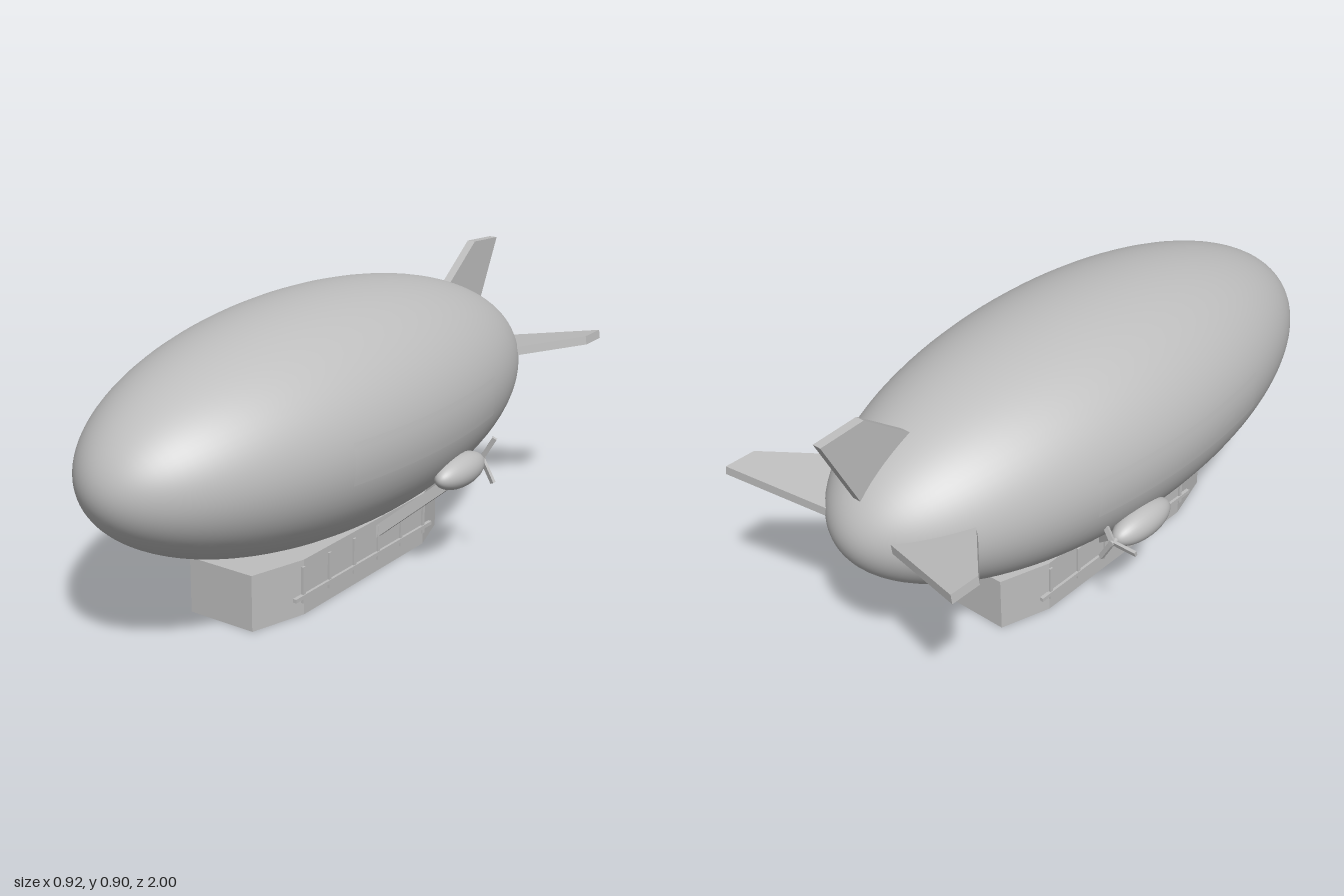
import * as THREE from 'three';

const grey = new THREE.MeshStandardMaterial({ color: 0xbebebe });
grey.name = 'silver grey';

const AXIS_Y = 0.535, AXIS_Z = 0.03;
const RX = 0.427, RY = 0.362, RZ = 0.97;

function add(parent, name, geometry, x = 0, y = 0, z = 0) {
  const mesh = new THREE.Mesh(geometry, grey);
  mesh.name = name;
  mesh.position.set(x, y, z);
  parent.add(mesh);
  return mesh;
}

// Smooth ellipsoid with its poles on the z axis
function ellipsoid(rx, ry, rz, around, along) {
  return new THREE.SphereGeometry(1, around, along).rotateX(Math.PI / 2).scale(rx, ry, rz);
}

// Horizontal slab from an [x, z] outline, its underside at y = bottom
function slab(outline, thickness, bottom) {
  const shape = new THREE.Shape(outline.map(([x, z]) => new THREE.Vector2(x, -z)));
  return new THREE.ExtrudeGeometry(shape, { depth: thickness, bevelEnabled: false })
    .rotateX(-Math.PI / 2).translate(0, bottom, 0);
}

// Thin panel that follows the envelope's flank
function sidePanel(s) {
  const g = new THREE.PlaneGeometry(0.76, 0.125, 32, 6);
  const p = g.attributes.position;
  for (let i = 0; i < p.count; i++) {
    const z = 0.03 - s * p.getX(i), y = 0.537 + p.getY(i);
    const u = (y - AXIS_Y) / RY, w = (z - AXIS_Z) / RZ;
    p.setXYZ(i, s * (RX * Math.sqrt(1 - u * u - w * w) + 0.002), y, z);
  }
  g.computeVertexNormals();
  return g;
}

// Sloping strut, sheared from a box, from cabin wall to nacelle
function strut(s) {
  const g = new THREE.BoxGeometry(1, 0.042, 0.036);
  const p = g.attributes.position;
  for (let i = 0; i < p.count; i++) {
    const t = s * p.getX(i) + 0.5;
    p.setXYZ(i,
      s * THREE.MathUtils.lerp(0.155, 0.39, t),
      p.getY(i) + THREE.MathUtils.lerp(0.125, 0.335, t),
      p.getZ(i) + THREE.MathUtils.lerp(-0.05, -0.155, t));
  }
  g.computeVertexNormals();
  return g;
}

export function createModel() {
  const model = new THREE.Group();
  model.name = 'airship';
  const body = new THREE.Group();
  body.name = 'airshipBody';
  body.position.x = 0.016;
  model.add(body);

  // Gas envelope
  add(body, 'envelope', ellipsoid(RX, RY, RZ, 72, 56), 0, AXIS_Y, AXIS_Z);

  // Tail fins, all radiating from the envelope axis
  const sideFin = [[0.05, -0.87], [0.44, -0.98], [0.44, -0.88], [0.28, -0.72], [0.18, -0.63]];
  const topFin = [[0.06, -0.86], [0.125, -0.89], [0.345, -1], [0.355, -0.85], [0.245, -0.7], [0.16, -0.6]];
  [['leftFin', sideFin, 0.155], ['rightFin', sideFin, Math.PI - 0.155], ['topFin', topFin, Math.PI / 2]]
    .forEach(([name, outline, angle]) => {
      add(body, name, slab(outline, 0.028, -0.014), 0, AXIS_Y, 0).rotation.z = angle;
    });

  // Cabin with cut corners
  add(body, 'cabin', slab([
    [-0.114, 0.52], [0.114, 0.52], [0.166, 0.34], [0.166, -0.31],
    [0.114, -0.47], [-0.114, -0.47], [-0.166, -0.31], [-0.166, 0.34],
  ], 0.175, 0));

  for (const s of [1, -1]) {
    const side = s > 0 ? 'left' : 'right';
    add(body, side + 'Panel', sidePanel(s));

    // Handrail and posts along the cabin wall
    add(body, side + 'Rail', new THREE.BoxGeometry(0.012, 0.012, 0.74), s * 0.169, 0.062, 0.02);
    for (let i = 0; i < 6; i++) {
      add(body, side + 'RailPost', new THREE.BoxGeometry(0.012, 0.115, 0.012),
        s * 0.166, 0.0975, 0.345 - 0.13 * i);
    }

    // Engine nacelle, strut and three-bladed propeller
    add(body, side + 'Strut', strut(s));
    add(body, side + 'Nacelle', ellipsoid(0.051, 0.051, 0.123, 32, 24), s * 0.39, 0.352, -0.153);
    const propeller = new THREE.Group();
    propeller.name = side + 'Propeller';
    propeller.position.set(s * 0.39, 0.352, -0.287);
    add(propeller, 'hub', new THREE.CylinderGeometry(0.009, 0.009, 0.03, 16).rotateX(Math.PI / 2), 0, 0, 0.005);
    for (let i = 0; i < 3; i++) {
      const blade = new THREE.BoxGeometry(0.085, 0.015, 0.01).rotateX(0.3).translate(0.0425, 0, 0);
      add(propeller, 'blade', blade).rotation.z = Math.PI / 3 + i * Math.PI * 2 / 3;
    }
    body.add(propeller);
  }
  return model;
}
